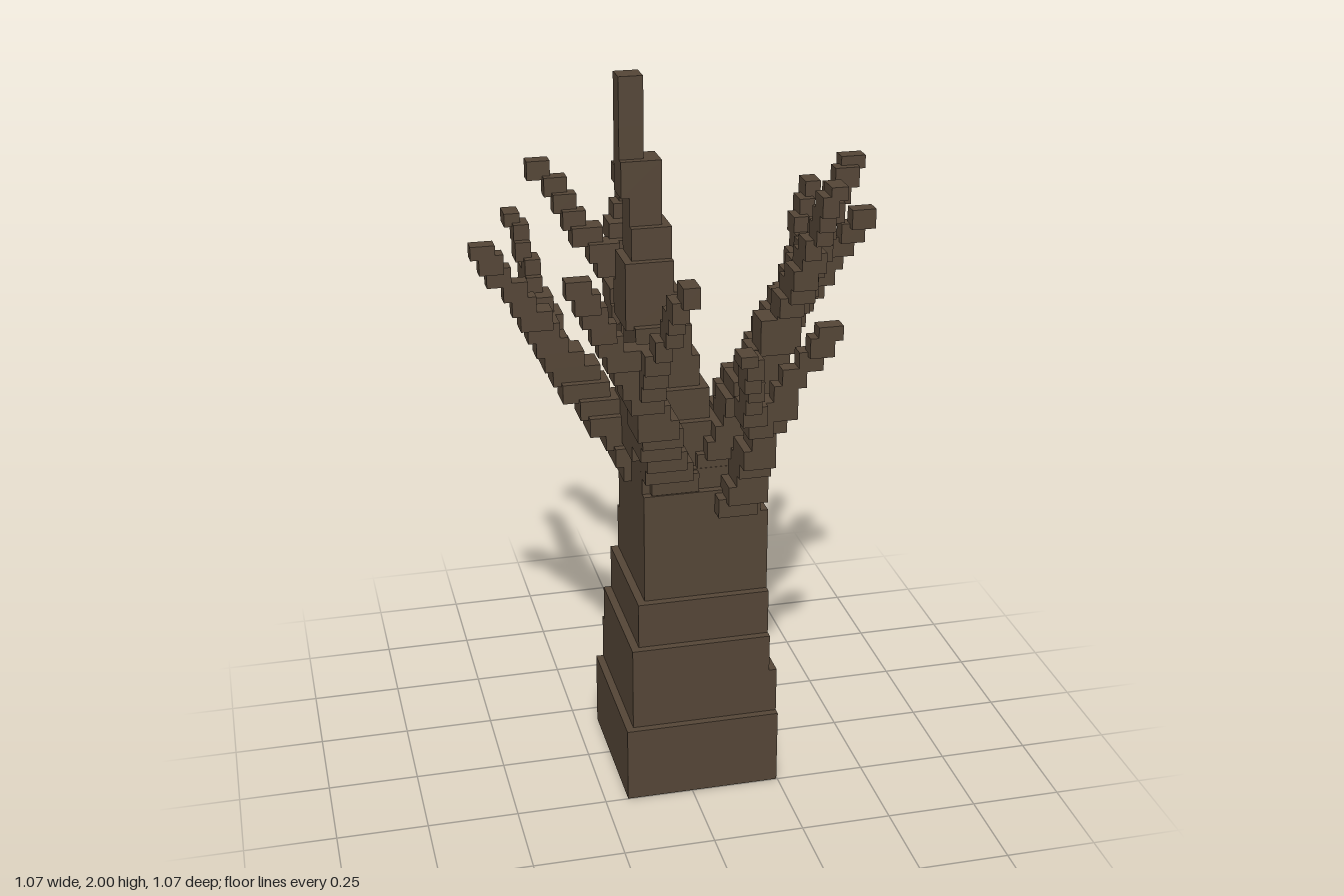
import * as THREE from 'three';
import { mergeGeometries } from 'three/addons/utils/BufferGeometryUtils.js';

const U = 2 / 92;       // block unit
const OFFSET = 0.0095;  // shift of the block grid in x and z
const snap = (v) => Math.round(v / U) * U;
const snapSide = (v) => snap(v - OFFSET) + OFFSET;
const bark = new THREE.MeshStandardMaterial({ color: 0x544536, flatShading: true });

// Box from its minimum and maximum corners
function box(x0, x1, y0, y1, z0, z1) {
  return new THREE.BoxGeometry(x1 - x0, y1 - y0, z1 - z0)
    .translate((x0 + x1) / 2, (y0 + y1) / 2, (z0 + z1) / 2);
}

// Point [x, y, z, width] at height y on a run of stations
function stationAt(stations, y) {
  let i = 0;
  while (i < stations.length - 2 && y > stations[i + 1][1]) i++;
  const a = stations[i], b = stations[i + 1];
  const t = THREE.MathUtils.clamp((y - a[1]) / (b[1] - a[1]), 0, 1);
  return a.map((v, k) => v + (b[k] - v) * t);
}

// Stepped limb: slabs on the block grid, each drawn out along its main sideways lean
function limb(stations, step = 2 * U) {
  const slabs = [];
  const yEnd = stations[stations.length - 1][1];
  for (let y = snap(stations[0][1]); y < yEnd - step * 0.4; y += step) {
    const [xa, , za] = stationAt(stations, y);
    const [xb, , zb] = stationAt(stations, y + step);
    const w = stationAt(stations, y + step / 2)[3];
    const size = Math.max(2, Math.round(w / U)) * U;
    const leanX = Math.abs(xb - xa), leanZ = Math.abs(zb - za);
    const sx = size + (leanX >= leanZ ? snap(leanX) : 0);
    const sz = size + (leanZ > leanX ? snap(leanZ) : 0);
    const x0 = snapSide((xa + xb - sx) / 2), z0 = snapSide((za + zb - sz) / 2);
    slabs.push(box(x0, x0 + sx, y - U * 0.5, Math.min(y + step, yEnd), z0, z0 + sz));
  }
  return mergeGeometries(slabs);
}

export function createModel() {
  const group = new THREE.Group();
  const add = (name, geometry) => {
    const mesh = new THREE.Mesh(geometry, bark);
    mesh.name = name;
    group.add(mesh);
  };

  // Trunk tiers: x0, x1, y0, y1, z0, z1
  const tiers = [
    [-0.186, 0.247, 0, 0.217, -0.186, 0.249],
    [-0.165, 0.247, 0.217, 0.348, -0.186, 0.228],
    [-0.165, 0.225, 0.348, 0.457, -0.163, 0.228],
    [-0.143, 0.225, 0.457, 0.587, -0.163, 0.206],
    [-0.121, 0.225, 0.587, 0.717, -0.163, 0.184],
    [-0.121, 0.225, 0.717, 0.826, -0.142, 0.184],
    [-0.121, 0.203, 0.826, 0.9, -0.142, 0.184],
    [-0.121, 0.181, 0.9, 0.96, -0.12, 0.163],
  ];
  add('trunk', mergeGeometries(tiers.map((t) => box(...t))));

  // Tall tapering leader
  add('leader', limb([
    [0, 0.92, 0.03, 0.23], [-0.04, 1.2, 0.02, 0.18], [-0.07, 1.48, 0, 0.13],
    [-0.085, 1.7, -0.01, 0.085], [-0.11, 1.83, -0.022, 0.065], [-0.11, 2, -0.022, 0.065],
  ], 4 * U));

  // Boughs: a stem, and twigs that leave it at its last station
  const boughs = {
    back: {
      stem: [[-0.01, 0.91, -0.07, 0.13], [-0.05, 1.15, -0.18, 0.11], [-0.08, 1.36, -0.31, 0.08]],
      twigs: [
        [[-0.05, 1.52, -0.41, 0.05], [-0.012, 1.675, -0.515, 0.043]],
        [[-0.19, 1.52, -0.37, 0.05], [-0.295, 1.675, -0.425, 0.043]],
      ],
    },
    right: {
      stem: [[-0.07, 0.9, -0.02, 0.12], [-0.17, 1.07, -0.06, 0.1], [-0.28, 1.2, -0.1, 0.08]],
      twigs: [
        [[-0.335, 1.41, -0.22, 0.05], [-0.375, 1.57, -0.315, 0.043]],
        [[-0.325, 1.32, -0.23, 0.05], [-0.355, 1.415, -0.31, 0.043]],
        [[-0.39, 1.4, -0.065, 0.05], [-0.515, 1.57, -0.033, 0.043]],
      ],
    },
    left: {
      stem: [[0.12, 0.93, -0.02, 0.13], [0.23, 1.13, -0.04, 0.1], [0.34, 1.33, -0.06, 0.08]],
      twigs: [
        [[0.4, 1.49, -0.15, 0.05], [0.446, 1.63, -0.23, 0.043]],
        [[0.43, 1.48, 0.01, 0.05], [0.51, 1.63, 0.075, 0.043]],
      ],
    },
    frontLeft: {
      stem: [[0.09, 0.92, 0.08, 0.14], [0.18, 1.18, 0.15, 0.1], [0.26, 1.42, 0.2, 0.075]],
      twigs: [
        [[0.37, 1.61, 0.15, 0.05], [0.465, 1.785, 0.095, 0.043]],
        [[0.3, 1.6, 0.27, 0.05], [0.33, 1.785, 0.36, 0.043]],
      ],
    },
    front: {
      stem: [[0.13, 0.85, 0.14, 0.11], [0.17, 1.0, 0.22, 0.09], [0.16, 1.12, 0.3, 0.07]],
      twigs: [
        [[0.115, 1.26, 0.38, 0.05], [0.075, 1.41, 0.49, 0.043]],
        [[0.23, 1.26, 0.33, 0.05], [0.33, 1.42, 0.355, 0.043]],
      ],
    },
    frontRight: {
      stem: [[-0.03, 0.91, 0.1, 0.13], [-0.09, 1.1, 0.21, 0.11], [-0.14, 1.25, 0.29, 0.08]],
      twigs: [
        [[-0.115, 1.43, 0.4, 0.05], [-0.08, 1.61, 0.51, 0.043]],
        [[-0.25, 1.43, 0.345, 0.05], [-0.34, 1.6, 0.38, 0.043]],
      ],
    },
  };
  for (const [side, { stem, twigs }] of Object.entries(boughs)) {
    add(`${side}Bough`, limb(stem));
    const fork = stem[stem.length - 1];
    twigs.forEach((twig, i) => add(`${side}Twig${i + 1}`, limb([fork, ...twig])));
  }
  return group;
}
